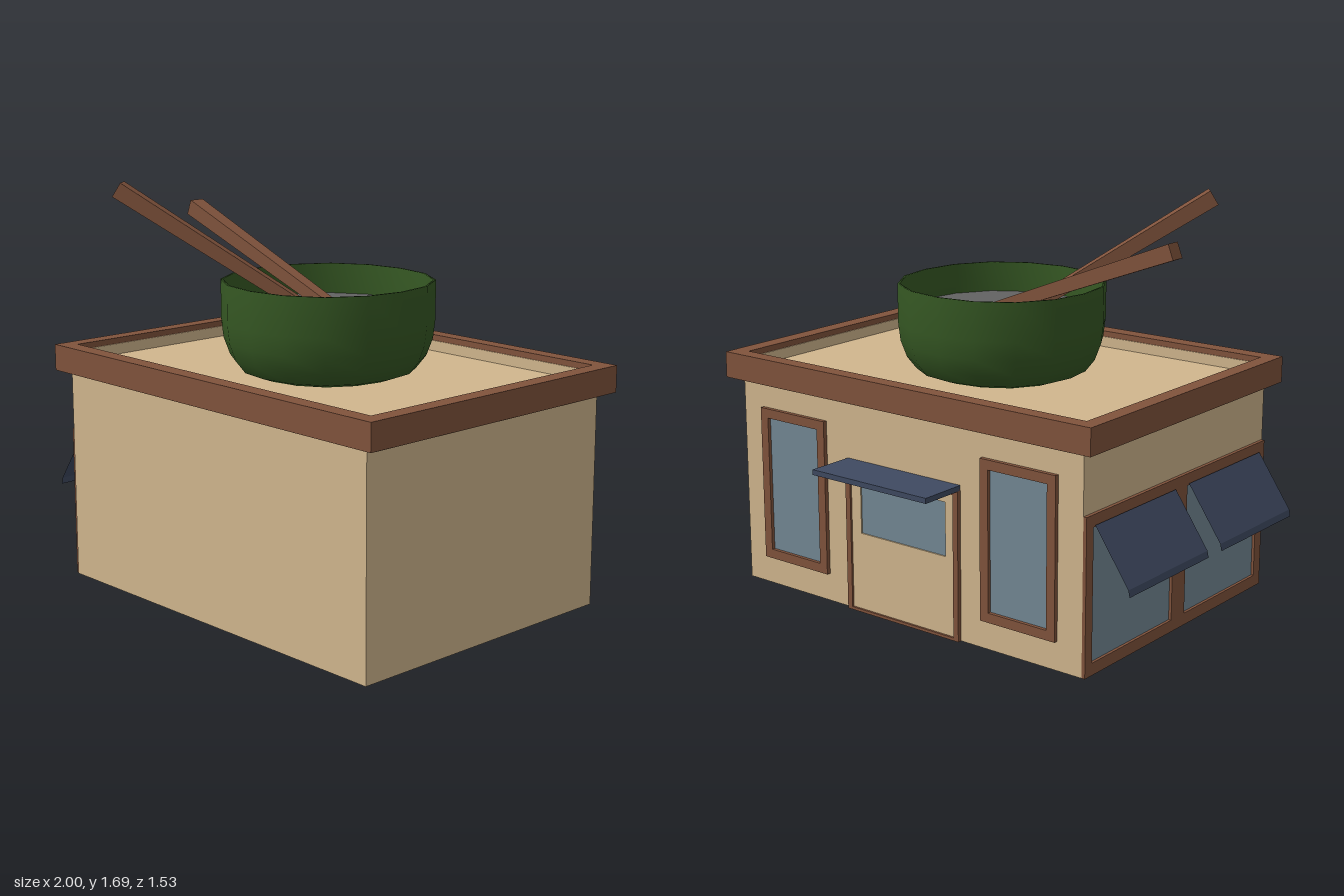
import * as THREE from 'three';

const mat = (color, side = THREE.FrontSide, flatShading = true) =>
  new THREE.MeshStandardMaterial({ color, side, flatShading });

export function createModel() {
  const root = new THREE.Group();
  const wall = mat(0xd1b68d), wood = mat(0x80533c), glass = mat(0x738894);
  const navy = mat(0x3f4a61, THREE.DoubleSide);

  const add = (name, geometry, material, parent = root) => {
    const mesh = new THREE.Mesh(geometry, material);
    mesh.name = name;
    parent.add(mesh);
    return mesh;
  };
  // box given by its min and max corners
  const box = (name, a, b, material, parent) => {
    const g = new THREE.BoxGeometry(b[0] - a[0], b[1] - a[1], b[2] - a[2]);
    g.translate((a[0] + b[0]) / 2, (a[1] + b[1]) / 2, (a[2] + b[2]) / 2);
    return add(name, g, material, parent);
  };
  const rect = (x0, y0, x1, y1, Type = THREE.Shape) =>
    new Type([[x0, y0], [x1, y0], [x1, y1], [x0, y1]].map(p => new THREE.Vector2(...p)));
  // flat frame: outer rectangle with rectangular openings
  const frame = (outer, holes, depth) => {
    const s = rect(...outer);
    holes.forEach(h => s.holes.push(rect(...h, THREE.Path)));
    return new THREE.ExtrudeGeometry(s, { depth, bevelEnabled: false });
  };
  const pane = (x0, y0, x1, y1, z) =>
    new THREE.PlaneGeometry(x1 - x0, y1 - y0).translate((x0 + x1) / 2, (y0 + y1) / 2, z);

  // building, eave slab and roof edge (rings are drawn in x, -z and laid flat)
  box('building', [-0.82, 0, -0.56], [0.94, 0.91, 0.725], wall);
  box('roofSlab', [-0.875, 0.888, -0.6], [0.995, 0.93, 0.76], wall);
  const ring = (name, outer, hole, y, h, m) =>
    add(name, frame(outer, [hole], h).rotateX(-Math.PI / 2).translate(0, y, 0), m);
  ring('roofTrim', [-0.88, -0.765, 1, 0.605], [-0.815, -0.695, 0.93, 0.54], 0.89, 0.11, wood);
  ring('roofLedge', [-0.82, -0.7, 0.935, 0.545], [-0.811, -0.691, 0.926, 0.536], 0.925, 0.05, wall);

  // back wall, built facing +z with x mirrored by the turn
  const back = new THREE.Group();
  back.name = 'backWall';
  back.rotation.y = Math.PI;
  back.position.z = -0.56;
  root.add(back);
  for (const x of [-0.83, 0.345]) {
    add('windowFrame', frame([x, 0.12, x + 0.36, 0.78], [[x + 0.04, 0.16, x + 0.32, 0.74]], 0.018), wood, back);
    add('windowGlass', pane(x + 0.04, 0.16, x + 0.32, 0.74, 0.003), glass, back);
  }
  const doorway = [-0.33, 0.012, 0.21, 0.605], light = [-0.28, 0.34, 0.165, 0.565];
  add('doorFrame', frame([-0.355, 0, 0.235, 0.63], [doorway], 0.018), wood, back);
  add('door', frame(doorway, [light], 0.009), wall, back);
  add('doorGlass', pane(...light, 0.003), glass, back);
  box('doorCanopy', [-0.355, 0.623, 0], [0.235, 0.645, 0.205], navy, back);

  // right-hand shopfront: local x runs along world z, local z points to -x
  const side = new THREE.Group();
  side.name = 'shopfront';
  side.rotation.y = -Math.PI / 2;
  side.position.x = -0.82;
  root.add(side);
  const bays = [[-0.515, 0.05, 0.03, 0.59], [0.125, 0.05, 0.67, 0.59]];
  add('shopfrontFrame', frame([-0.56, 0, 0.72, 0.64], bays, 0.015), wood, side);
  // sheet sloping from (z, y) to (z, y) across a bay
  const sheet = (name, x0, x1, [z0, y0], [z1, y1]) => {
    const g = new THREE.PlaneGeometry(x1 - x0, Math.hypot(z1 - z0, y0 - y1));
    g.rotateX(-Math.atan2(z1 - z0, y0 - y1));
    g.translate((x0 + x1) / 2, (y0 + y1) / 2, (z0 + z1) / 2);
    add(name, g, navy, side);
  };
  for (const [x0, y0, x1, y1] of bays) {
    add('shopfrontGlass', pane(x0, y0, x1, y1, 0.003), glass, side);
    sheet('awning', x0, x1, [0.022, 0.6], [0.174, 0.38]);
    sheet('awningLip', x0, x1, [0.174, 0.38], [0.18, 0.352]);
  }

  // rooftop bowl with its filling, slightly fuller on the diagonals
  const bowl = new THREE.Group();
  bowl.name = 'bowl';
  bowl.position.set(0.06, 0, 0.08);
  root.add(bowl);
  const profile = [[0, 0.932], [0.3, 0.932], [0.35, 0.95], [0.388, 1], [0.413, 1.07], [0.422, 1.15],
    [0.422, 1.31], [0.412, 1.31], [0.409, 1.16]].map(p => new THREE.Vector2(...p));
  const fuller = g => {
    const p = g.attributes.position;
    for (let i = 0; i < p.count; i++) {
      const k = 1 + 0.03 * Math.sin(2 * Math.atan2(p.getZ(i), p.getX(i))) ** 2;
      p.setXYZ(i, p.getX(i) * k, p.getY(i), p.getZ(i) * k);
    }
    return g;
  };
  add('bowlShell', fuller(new THREE.LatheGeometry(profile, 16)), mat(0x355723, THREE.DoubleSide, false), bowl);
  const broth = new THREE.CircleGeometry(0.41, 16).rotateX(-Math.PI / 2).translate(0, 1.183, 0);
  add('broth', fuller(broth), mat(0x636363), bowl);

  // tapered square chopsticks, from tip to thick end
  const sticks = [[[0.14, 1.175, 0.08], [-0.778, 1.53, 0.082]], [[0, 1.175, 0.12], [-0.615, 1.66, 0.614]]];
  for (const [tip, end] of sticks) {
    const a = new THREE.Vector3(...tip), b = new THREE.Vector3(...end);
    const len = a.distanceTo(b);
    const g = new THREE.CylinderGeometry(0.047, 0.034, len, 4).rotateY(Math.PI / 4);
    g.translate(0, len / 2, 0).rotateX(Math.PI / 2);
    const stick = add('chopstick', g, wood);
    stick.position.copy(a);
    stick.lookAt(b);
  }
  return root;
}
